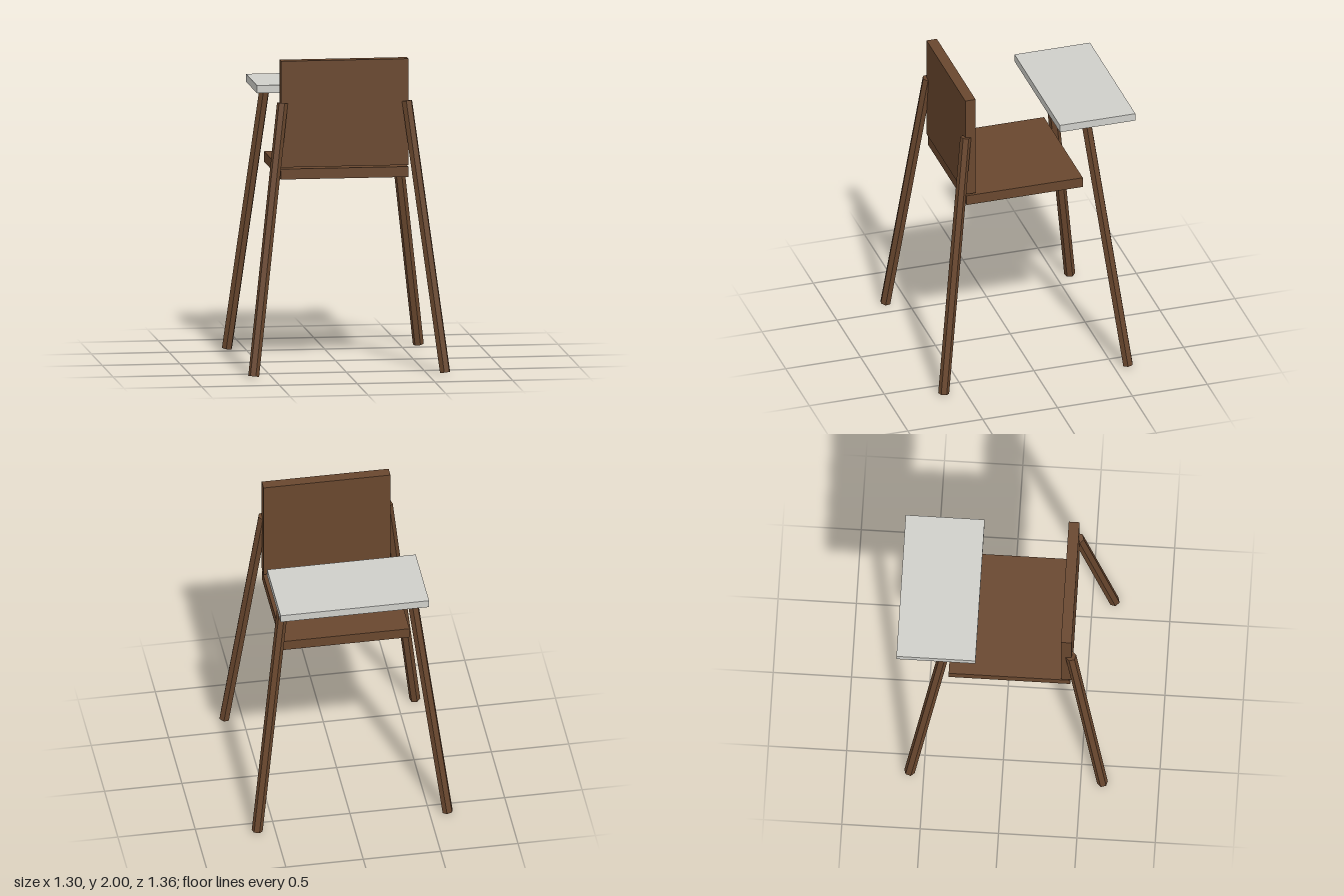
import * as THREE from 'three';

export function createModel() {
  const model = new THREE.Group();
  model.name = 'highChair';

  const wood = new THREE.MeshStandardMaterial({ name: 'brown wood', color: 0x69472e });
  const pale = new THREE.MeshStandardMaterial({ name: 'pale grey', color: 0xcfcfca });

  // Flat board spanning two corners, symmetric in x
  function board(name, halfWidth, y0, y1, z0, z1, material) {
    const mesh = new THREE.Mesh(new THREE.BoxGeometry(halfWidth * 2, y1 - y0, z1 - z0), material);
    mesh.position.set(0, (y0 + y1) / 2, (z0 + z1) / 2);
    mesh.name = name;
    model.add(mesh);
  }

  board('seat', 0.41, 1.237, 1.304, -0.355, 0.421, wood);
  board('backrest', 0.41, 1.316, 2, 0.361, 0.43, wood);
  board('tray', 0.48, 1.705, 1.755, -0.684, -0.18, pale);

  // Four hexagonal legs, each leaning inwards along its diagonal
  const tilt = THREE.MathUtils.degToRad(10);
  const legGeometry = new THREE.CylinderGeometry(0.035, 0.035, 1.75, 6).toNonIndexed();
  legGeometry.computeVertexNormals();
  for (const sx of [1, -1]) {
    for (const sz of [1, -1]) {
      const leg = new THREE.Mesh(legGeometry, wood);
      leg.name = (sz > 0 ? 'front' : 'back') + (sx > 0 ? 'Left' : 'Right') + 'Leg';
      leg.rotation.order = 'YXZ';
      leg.rotation.y = Math.atan2(sx, sz);
      leg.rotation.x = -tilt;
      leg.position.set(sx * 0.508, 0.868, 0.024 + sz * 0.508);
      model.add(leg);
    }
  }

  return model;
}
